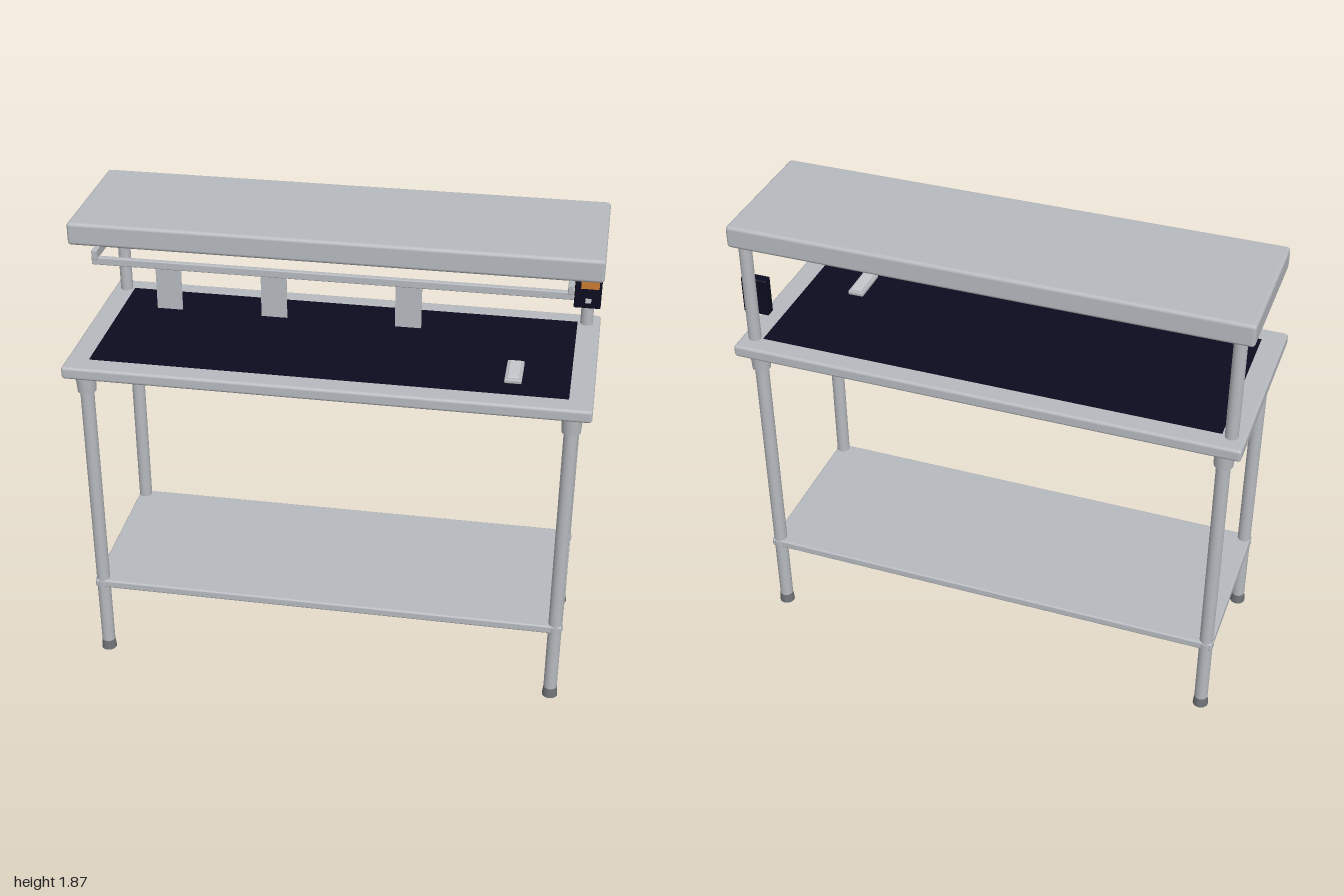
import * as THREE from 'three';
import { RoundedBoxGeometry } from 'three/addons/geometries/RoundedBoxGeometry.js';

const mat = (name, color) => {
  const m = new THREE.MeshStandardMaterial({ color });
  m.name = name;
  return m;
};

export function createModel() {
  const root = new THREE.Group();
  root.name = 'prepTable';
  const steel = mat('steel', 0xb6b9be);
  const navy = mat('navy', 0x0c0c20);
  const amber = mat('amber', 0xcc7c34);
  const rubber = mat('rubber', 0x707376);
  const pale = mat('pale', 0xc4c8cc);

  const add = (name, geo, material, x, y, z) => {
    const m = new THREE.Mesh(geo, material);
    m.name = name;
    m.position.set(x, y, z);
    root.add(m);
    return m;
  };
  // Boxes are given by their min and max on each axis; r rounds the edges
  const box = (name, material, [x0, x1], [y0, y1], [z0, z1], r = 0) => {
    const s = [x1 - x0, y1 - y0, z1 - z0];
    const geo = r ? new RoundedBoxGeometry(...s, 3, r) : new THREE.BoxGeometry(...s);
    return add(name, geo, material, (x0 + x1) / 2, (y0 + y1) / 2, (z0 + z1) / 2);
  };
  const tube = (name, material, x, z, y0, y1, rTop, rBottom = rTop) =>
    add(name, new THREE.CylinderGeometry(rTop, rBottom, y1 - y0, 24), material, x, (y0 + y1) / 2, z);

  // Worktop, dark mat, lower shelf
  box('worktop', steel, [-1, 1], [1.315, 1.365], [-0.4, 0.4], 0.012);
  box('workMat', navy, [-0.91, 0.91], [1.36, 1.368], [-0.318, 0.318]);
  box('lowerShelf', steel, [-0.955, 0.955], [0.32, 0.355], [-0.352, 0.352], 0.008);

  // Legs with sockets, shelf collars and feet
  for (const sx of [-1, 1]) {
    for (const sz of [-1, 1]) {
      const x = sx * 0.927, z = sz * 0.325;
      tube('leg', steel, x, z, 0.03, 1.32, 0.027);
      tube('legSocket', steel, x, z, 1.235, 1.316, 0.041, 0.036);
      tube('shelfCollar', steel, x, z, 0.326, 0.349, 0.031);
      tube('foot', rubber, x, z, 0, 0.042, 0.027, 0.031);
    }
    // Posts that carry the hood
    tube('hoodPost', steel, sx * 0.945, -0.32, 1.36, 1.8, 0.025);
    // Rail arms under the hood
    box('railArm', steel, [sx * 0.885 - 0.011, sx * 0.885 + 0.011], [1.746, 1.784], [0.12, 0.238], 0.004);
  }

  // Hood with heating panels underneath
  box('hood', steel, [-1, 1], [1.78, 1.87], [-0.36, 0.2], 0.014);
  box('heaterFrame', steel, [-0.87, 0.87], [1.774, 1.784], [-0.24, 0.08]);
  for (const x of [-0.575, 0, 0.575]) {
    box('heaterPanel', amber, [x - 0.262, x + 0.262], [1.771, 1.778], [-0.215, 0.055]);
  }

  // Ticket rail and hanging tickets
  box('ticketRail', steel, [-0.9, 0.897], [1.722, 1.752], [0.206, 0.228], 0.004);
  for (const x of [-0.606, -0.205, 0.299]) {
    box('ticket', steel, [x - 0.049, x + 0.049], [1.56, 1.73], [0.22, 0.223]);
  }

  // Control box on the left post
  box('controlBox', navy, [0.89, 0.995], [1.46, 1.615], [-0.295, -0.253], 0.006);
  box('controlScreen', amber, [0.914, 0.985], [1.546, 1.578], [-0.254, -0.248]);
  box('controlButton', pale, [0.934, 0.957], [1.486, 1.503], [-0.254, -0.247]);

  // Small handheld tool lying on the mat
  box('toolBody', steel, [0.665, 0.73], [1.367, 1.384], [0.08, 0.24], 0.005);
  box('toolTop', pale, [0.675, 0.72], [1.38, 1.39], [0.09, 0.23], 0.004);

  return root;
}
